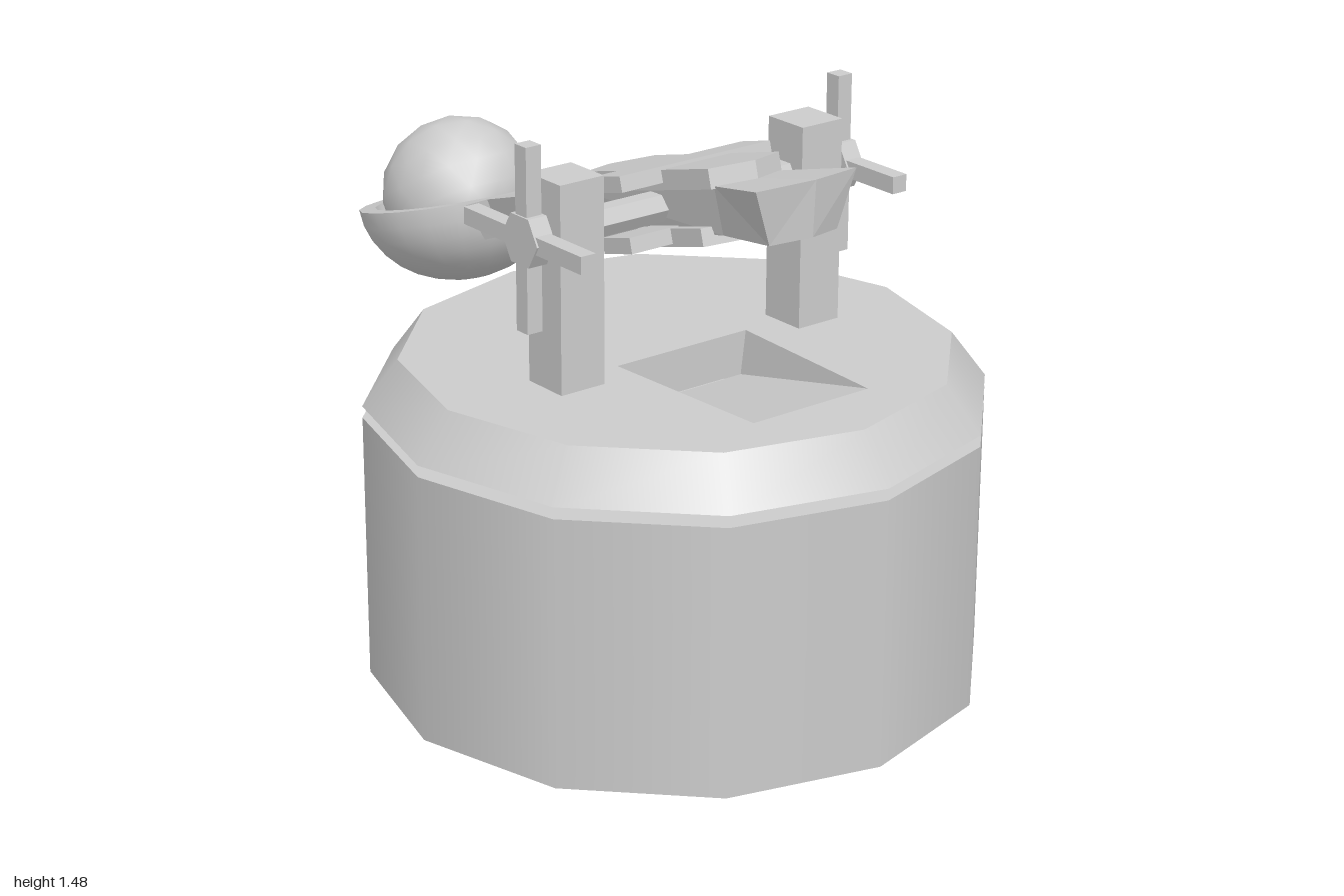
import * as THREE from 'three';
import { mergeVertices, toCreasedNormals } from 'three/addons/utils/BufferGeometryUtils.js';

const smooth = new THREE.MeshStandardMaterial({ color: 0xcccccc });
const flat = new THREE.MeshStandardMaterial({ color: 0xcccccc, flatShading: true });
const flatDouble = new THREE.MeshStandardMaterial({ color: 0xcccccc, flatShading: true, side: THREE.DoubleSide });

function add(parent, name, geometry, material, x = 0, y = 0, z = 0) {
  const mesh = new THREE.Mesh(geometry, material);
  mesh.name = name;
  mesh.position.set(x, y, z);
  parent.add(mesh);
  return mesh;
}

function fromPoints(points, index) {
  const g = new THREE.BufferGeometry();
  g.setAttribute('position', new THREE.Float32BufferAttribute(points.flat(), 3));
  g.setIndex(index);
  g.computeVertexNormals();
  return g;
}

// Six-sided bar lying along z, with corners on the x axis
const hexBar = (r, length) =>
  new THREE.CylinderGeometry(r, r, length, 6).rotateY(Math.PI / 2).rotateX(Math.PI / 2);

// Trapezoid sections along x: [xTop, xBottom, top, bottom, halfTop, halfBottom, point]
function loft(sections) {
  const points = [], index = [], n = 6;
  for (const [xt, xb, top, bot, wt, wb, tip] of sections) {
    points.push([xt, top, -wt], [xt + tip, top, 0], [xt, top, wt],
      [xb, bot, wb], [xb + tip, bot, 0], [xb, bot, -wb]);
  }
  for (let i = 0; i < sections.length - 1; i++) {
    for (let j = 0; j < n; j++) {
      const a = i * n + j, b = i * n + (j + 1) % n;
      index.push(a, b, b + n, a, b + n, a + n);
    }
  }
  const e = (sections.length - 1) * n;
  for (const [a, b, c, d] of [[0, 1, 4, 5], [1, 2, 3, 4]]) {
    index.push(e + a, e + b, e + c, e + a, e + c, e + d);
    index.push(c, b, a, d, c, a);
  }
  return fromPoints(points, index);
}

// Flat plate with a pointed end on each side
function pointedPlate(x0, x1, halfWidth, thickness) {
  const p = 0.045;
  const shape = new THREE.Shape([
    [x0, 0], [x0 + p, -halfWidth], [x1 - p, -halfWidth],
    [x1, 0], [x1 - p, halfWidth], [x0 + p, halfWidth],
  ].map(([x, y]) => new THREE.Vector2(x, y)));
  return new THREE.ExtrudeGeometry(shape, { depth: thickness, bevelEnabled: false })
    .rotateX(-Math.PI / 2).translate(0, -thickness / 2, 0);
}

function makeTurntable() {
  const table = new THREE.Group();
  table.name = 'turntable';
  const rTop = 0.7, rBottom = 0.79, top = 0.85, low = 0.73;
  add(table, 'turntableRim', new THREE.CylinderGeometry(rTop, rBottom, top - low, 12, 1, true), smooth, 0, (top + low) / 2);
  add(table, 'turntableUnderside', new THREE.CircleGeometry(rBottom, 12).rotateX(Math.PI / 2), smooth, 0, low);

  // Top with a cut-out for the swinging end of the arm
  const x0 = 0.02, x1 = 0.51, w0 = 0.205, w1 = 0.18;
  const deck = new THREE.Shape();
  for (let i = 0; i < 12; i++) {
    const a = i * Math.PI / 6;
    deck[i ? 'lineTo' : 'moveTo'](rTop * Math.cos(a), rTop * Math.sin(a));
  }
  deck.holes.push(new THREE.Path([
    new THREE.Vector2(x0, -w0), new THREE.Vector2(x0, w0),
    new THREE.Vector2(x1, w1), new THREE.Vector2(x1, -w1),
  ]));
  add(table, 'turntableDeck', new THREE.ShapeGeometry(deck).rotateX(-Math.PI / 2), smooth, 0, top);

  // Sloping floor and walls of the cut-out
  const wf = w0 - 0.015, floor = low + 0.004;
  add(table, 'recess', fromPoints([
    [x0, top, -w0], [x0, top, w0], [x1, top, w1], [x1, top, -w1],
    [x0, floor, -wf], [x0, floor, wf],
  ], [4, 5, 2, 4, 2, 3, 0, 1, 5, 0, 5, 4, 0, 4, 3, 1, 2, 5]), flatDouble);
  return table;
}

function makeArm() {
  const arm = new THREE.Group();
  arm.name = 'throwingArm';

  // Beam, flared at the bowl and at the counterweight
  add(arm, 'beam', loft([
    [-0.77, -0.77, 0.015, -0.085, 0.14, 0.1, 0],
    [-0.72, -0.72, 0.023, -0.08, 0.105, 0.08, 0],
    [-0.3, -0.3, 0.043, -0.06, 0.105, 0.08, 0],
    [0.24, 0.22, 0.048, -0.075, 0.1, 0.08, 0.02],
    [0.465, 0.42, 0.042, -0.095, 0.155, 0.105, 0.035],
  ]), flat);

  // Clamp plates above and below the beam
  add(arm, 'upperPlate', pointedPlate(-0.3, 0.285, 0.11, 0.05), flat, 0, 0.067);
  add(arm, 'lowerPlate', pointedPlate(-0.3, 0.22, 0.11, 0.045), flat, 0, -0.075);
  for (const [name, y] of [['upperCrossPlate', 0.08], ['lowerCrossPlate', -0.07]]) {
    add(arm, name, new THREE.BoxGeometry(0.112, 0.04, 0.47), flat, 0, y);
  }

  // Hollow bowl
  const profile = [], steps = 8;
  for (let i = 0; i <= steps; i++) {
    const a = i / steps * Math.PI / 2;
    profile.push(new THREE.Vector2(0.275 * Math.sin(a), -0.23 * Math.cos(a)));
  }
  for (let i = steps; i >= 0; i--) {
    const a = i / steps * Math.PI / 2;
    profile.push(new THREE.Vector2(0.232 * Math.sin(a), -0.19 * Math.cos(a)));
  }
  add(arm, 'bowl', toCreasedNormals(new THREE.LatheGeometry(profile, 20), 0.8), smooth, -1.004, 0.02);
  return arm;
}

// Lumpy round stone
function makeBoulder() {
  let g = new THREE.IcosahedronGeometry(0.205, 2);
  g.deleteAttribute('normal');
  g.deleteAttribute('uv');
  g = mergeVertices(g, 1e-4);
  const p = g.attributes.position, v = new THREE.Vector3();
  for (let i = 0; i < p.count; i++) {
    v.fromBufferAttribute(p, i);
    const k = 0.99 + 0.03 * Math.sin(v.x * 23 + 1) * Math.cos(v.z * 19) + 0.025 * Math.sin(v.y * 27 + v.z * 15);
    v.multiplyScalar(k);
    p.setXYZ(i, v.x, v.y, v.z);
  }
  g.computeVertexNormals();
  return g;
}

export function createModel() {
  const model = new THREE.Group();
  model.name = 'catapult';
  const cx = 0.21;

  // Drum base, pivot and turntable
  add(model, 'base', new THREE.CylinderGeometry(0.79, 0.79, 0.7, 12), smooth, cx, 0.35);
  add(model, 'pivot', new THREE.CylinderGeometry(0.14, 0.14, 0.04, 12), smooth, cx, 0.715);
  const table = makeTurntable();
  table.position.x = cx;
  model.add(table);

  // Frame: posts, axle and crank wheels
  const frame = new THREE.Group();
  frame.name = 'frame';
  frame.position.set(0.24, 0, -0.007);
  model.add(frame);
  const axleY = 1.242;
  add(frame, 'axle', hexBar(0.04, 0.97), flat, 0, axleY);
  for (const s of [-1, 1]) {
    add(frame, 'post', new THREE.BoxGeometry(0.13, 0.53, 0.13), flat, 0, 1.115, s * 0.375);
    const wheel = new THREE.Group();
    wheel.name = 'crankWheel';
    wheel.position.set(0, axleY, s * 0.485);
    add(wheel, 'hub', hexBar(0.07, 0.054), flat);
    add(wheel, 'spokeUpright', new THREE.BoxGeometry(0.044, 0.466, 0.044), flat);
    add(wheel, 'spokeLevel', new THREE.BoxGeometry(0.466, 0.044, 0.044), flat);
    frame.add(wheel);
  }

  // Tilted arm with its load
  const arm = makeArm();
  arm.position.y = axleY;
  arm.rotation.z = Math.PI / 12;
  frame.add(arm);
  add(model, 'boulder', makeBoulder(), smooth, -0.738, 1.015, -0.007);
  return model;
}
